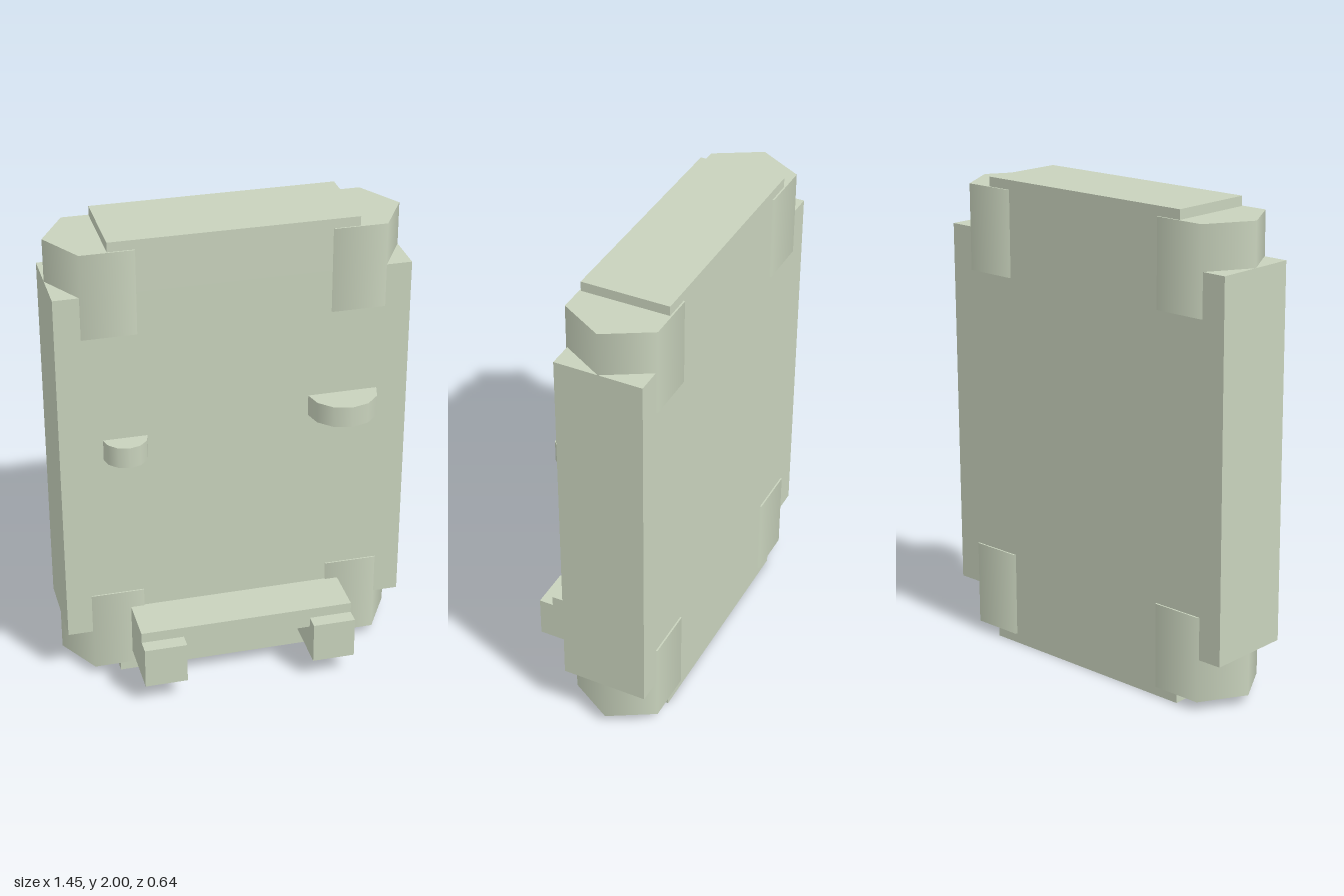
import * as THREE from 'three';

const material = new THREE.MeshStandardMaterial({ color: 0xc8d2bc });

function add(group, name, geometry, x, y, z) {
  const mesh = new THREE.Mesh(geometry, material);
  mesh.name = name;
  mesh.position.set(x, y, z);
  group.add(mesh);
  return mesh;
}

// Box given by its low and high corners
function addBox(group, name, [x0, y0, z0], [x1, y1, z1]) {
  const box = new THREE.BoxGeometry(x1 - x0, y1 - y0, z1 - z0);
  return add(group, name, box, (x0 + x1) / 2, (y0 + y1) / 2, (z0 + z1) / 2);
}

export function createModel() {
  const model = new THREE.Group();
  model.name = 'panel';

  // Thick slab with a square notch cut from each corner
  const w = 0.727, n = 0.507, low = 0.22, high = 1.78;
  const outline = new THREE.Shape([
    [-n, 0], [n, 0], [n, low], [w, low], [w, high], [n, high],
    [n, 2], [-n, 2], [-n, high], [-w, high], [-w, low], [-n, low],
  ].map(([x, y]) => new THREE.Vector2(x, y)));
  const slab = new THREE.ExtrudeGeometry(outline, { depth: 0.365, bevelEnabled: false });
  add(model, 'body', slab, 0, 0, -0.315);

  // Six-sided corner posts, one vertex pointing outward
  for (const side of [-1, 1]) {
    for (const y of [0.22, 1.78]) {
      const post = new THREE.CylinderGeometry(0.218, 0.218, 0.36, 6, 1, false, Math.PI / 2);
      add(model, 'cornerPost', post, side * 0.509, y, -0.133);
    }
  }

  // Half-round ledges on the front
  const ledges = [
    ['smallLedge', -0.457, 1.095, 0.092],
    ['largeLedge', 0.452, 1.185, 0.146],
  ];
  for (const [name, x, y, radius] of ledges) {
    add(model, name, new THREE.CylinderGeometry(radius, radius, 0.09, 12), x, y, 0.047);
  }

  // Step at the foot: a crossbar resting on two blocks
  const step = new THREE.Group();
  step.name = 'step';
  addBox(step, 'stepBar', [-0.455, 0.23, 0.04], [0.452, 0.32, 0.258]);
  addBox(step, 'stepBlock', [-0.455, 0.095, 0.04], [-0.275, 0.275, 0.32]);
  addBox(step, 'stepBlock', [0.272, 0.095, 0.04], [0.452, 0.275, 0.32]);
  model.add(step);

  return model;
}
